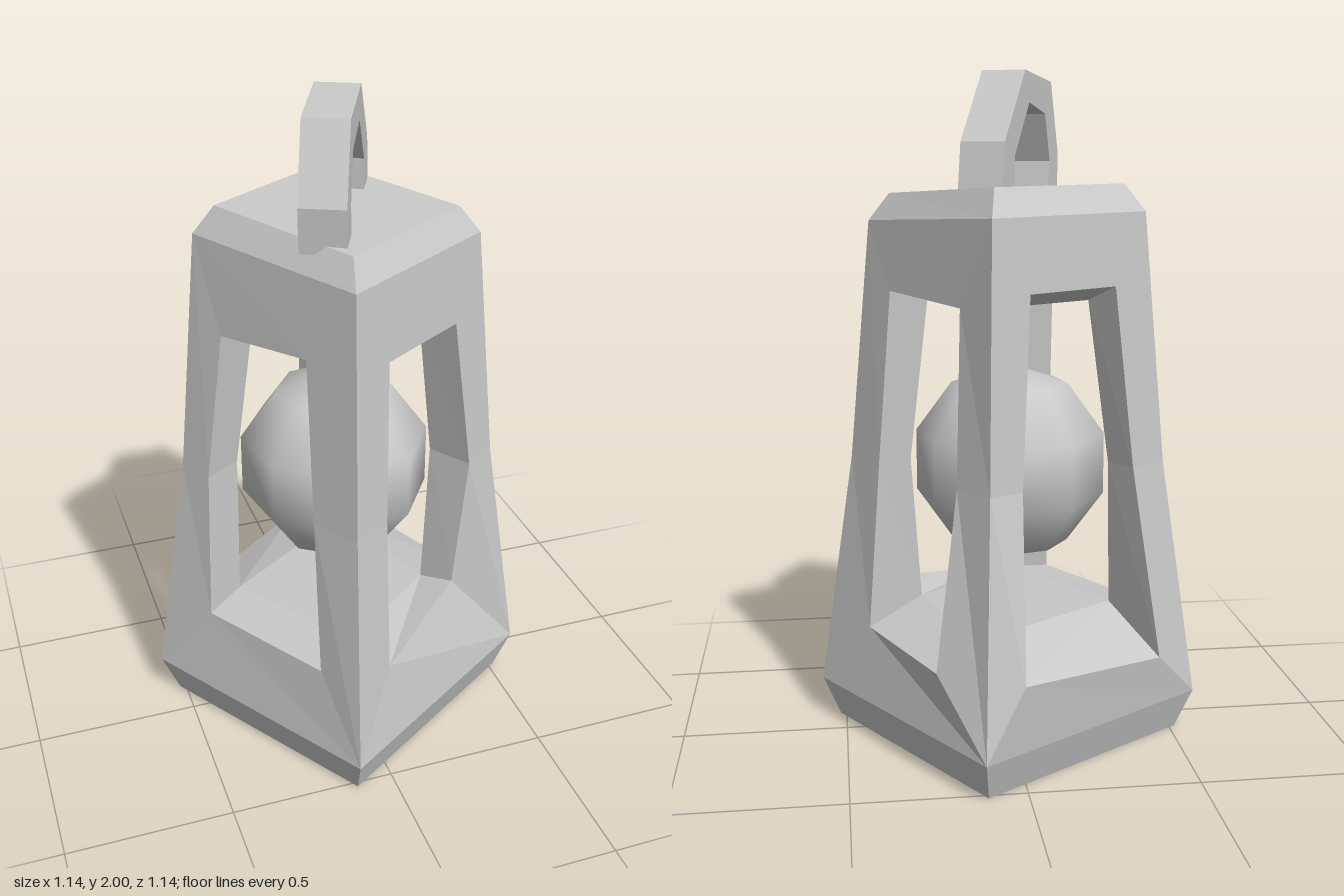
import * as THREE from 'three';

const YAW = THREE.MathUtils.degToRad(32.6);

// Outer square rings: [y, half width, tilt]
const RING = {
  foot: [0, 0.375, 0],
  base: [0.12, 0.414, 0],
  mid: [0.85, 0.337, 0],
  shoulder: [1.585, 0.29, 0.015],
  cap: [1.665, 0.245, 0.015],
};

// Window outline on each side: rows top, middle, bottom; each row is left and right [across, y, out]
const WINDOWS = [
  [[[-0.157, 1.33, 0.303], [0.164, 1.33, 0.303]],
    [[-0.2, 0.85, 0.337], [0.22, 0.85, 0.337]],
    [[-0.227, 0.37, 0.377], [0.177, 0.43, 0.32]]],
  [[[-0.17, 1.37, 0.301], [0.164, 1.35, 0.302]],
    [[-0.19, 0.85, 0.337], [0.2, 0.85, 0.345]],
    [[-0.2, 0.34, 0.375], [0.226, 0.34, 0.442]]],
  [[[-0.163, 1.39, 0.3], [0.163, 1.39, 0.3]],
    [[-0.22, 0.85, 0.337], [0.21, 0.85, 0.337]],
    [[-0.295, 0.33, 0.44], [0.236, 0.28, 0.437]]],
  [[[-0.185, 1.32, 0.303], [0.13, 1.34, 0.303]],
    [[-0.23, 0.85, 0.337], [0.18, 0.85, 0.337]],
    [[-0.215, 0.375, 0.372], [0.235, 0.375, 0.378]]],
];
const INNER_Y = [1.34, 0.85, 0.4];

// Point given in the frame of side k, turned a quarter turn per side
function sidePoint(k, across, y, out) {
  return [[across, y, out], [out, y, -across], [-across, y, -out], [-out, y, across]][k % 4];
}

// Outer corner to the right of side k
function corner(k, [y, half, tilt]) {
  const p = sidePoint(k, half, y, half);
  p[1] -= tilt * Math.sign(p[2]);
  return p;
}

// Inner corner of the post to the right of side k
function inner(k, row) {
  return sidePoint(k, WINDOWS[k][row][1][0], INNER_Y[row], -WINDOWS[(k + 1) % 4][row][0][0]);
}

function frameGeometry() {
  const pos = [];
  const quad = (a, b, c, d) => pos.push(...a, ...b, ...c, ...a, ...c, ...d);
  const { foot, base, mid, shoulder, cap } = RING;
  const postRings = [shoulder, mid, base];

  for (let k = 0; k < 4; k++) {
    const prev = (k + 3) % 4;
    const edge = (row, side) => sidePoint(k, ...WINDOWS[k][row][side]);
    const cl = (r) => corner(prev, r), cr = (r) => corner(k, r);

    // panels above and below the window, and the chamfers
    quad(cl(shoulder), edge(0, 0), edge(0, 1), cr(shoulder));
    quad(edge(2, 0), cl(base), cr(base), edge(2, 1));
    quad(cl(base), cl(foot), cr(foot), cr(base));
    quad(cl(cap), cl(shoulder), cr(shoulder), cr(cap));

    // posts: outer strips and window reveals
    for (let i = 0; i < 2; i++) {
      const j = i + 1, r = postRings[i], s = postRings[j];
      quad(cl(r), cl(s), edge(j, 0), edge(i, 0));
      quad(edge(i, 1), edge(j, 1), cr(s), cr(r));
      quad(edge(i, 0), edge(j, 0), inner(prev, j), inner(prev, i));
      quad(inner(k, i), inner(k, j), edge(j, 1), edge(i, 1));
    }

    // sill and window head
    quad(edge(2, 0), edge(2, 1), inner(k, 2), inner(prev, 2));
    quad(inner(prev, 0), inner(k, 0), edge(0, 1), edge(0, 0));
  }

  // roof, underside, floor and ceiling
  const ks = [0, 1, 2, 3], back = [3, 2, 1, 0];
  quad(...ks.map((k) => corner(k, cap)));
  quad(...back.map((k) => corner(k, foot)));
  quad(...ks.map((k) => inner(k, 2)));
  quad(...back.map((k) => inner(k, 0)));

  const g = new THREE.BufferGeometry();
  g.setAttribute('position', new THREE.Float32BufferAttribute(pos, 3));
  g.computeVertexNormals();
  return g;
}

// Faceted arch, extruded to a flat band
function handleGeometry() {
  const outline = [
    [-0.28, 1.63], [-0.29, 1.76], [-0.21, 1.975], [0.05, 2], [0.235, 1.8], [0.265, 1.63],
    [0.15, 1.63], [0.145, 1.76], [0.01, 1.91], [-0.15, 1.88], [-0.2, 1.74], [-0.175, 1.63],
  ];
  const shape = new THREE.Shape(outline.map(([x, y]) => new THREE.Vector2(x, y)));
  const g = new THREE.ExtrudeGeometry(shape, { depth: 0.13, bevelEnabled: false });
  g.translate(0, 0, -0.065);
  return g;
}

export function createModel() {
  const grey = new THREE.MeshStandardMaterial({ color: 0xc8c8c8 });
  grey.name = 'plain grey';
  const model = new THREE.Group();
  model.name = 'lantern';

  const add = (name, geometry, yaw) => {
    const mesh = new THREE.Mesh(geometry, grey);
    mesh.name = name;
    mesh.rotation.y = yaw;
    model.add(mesh);
    return mesh;
  };

  add('frame', frameGeometry(), YAW);
  add('glowBall', new THREE.SphereGeometry(0.3, 8, 5), YAW).position.set(-0.01, 0.845, -0.01);
  add('handle', handleGeometry(), THREE.MathUtils.degToRad(64.5)).position.set(-0.01, 0, 0.005);
  return model;
}
